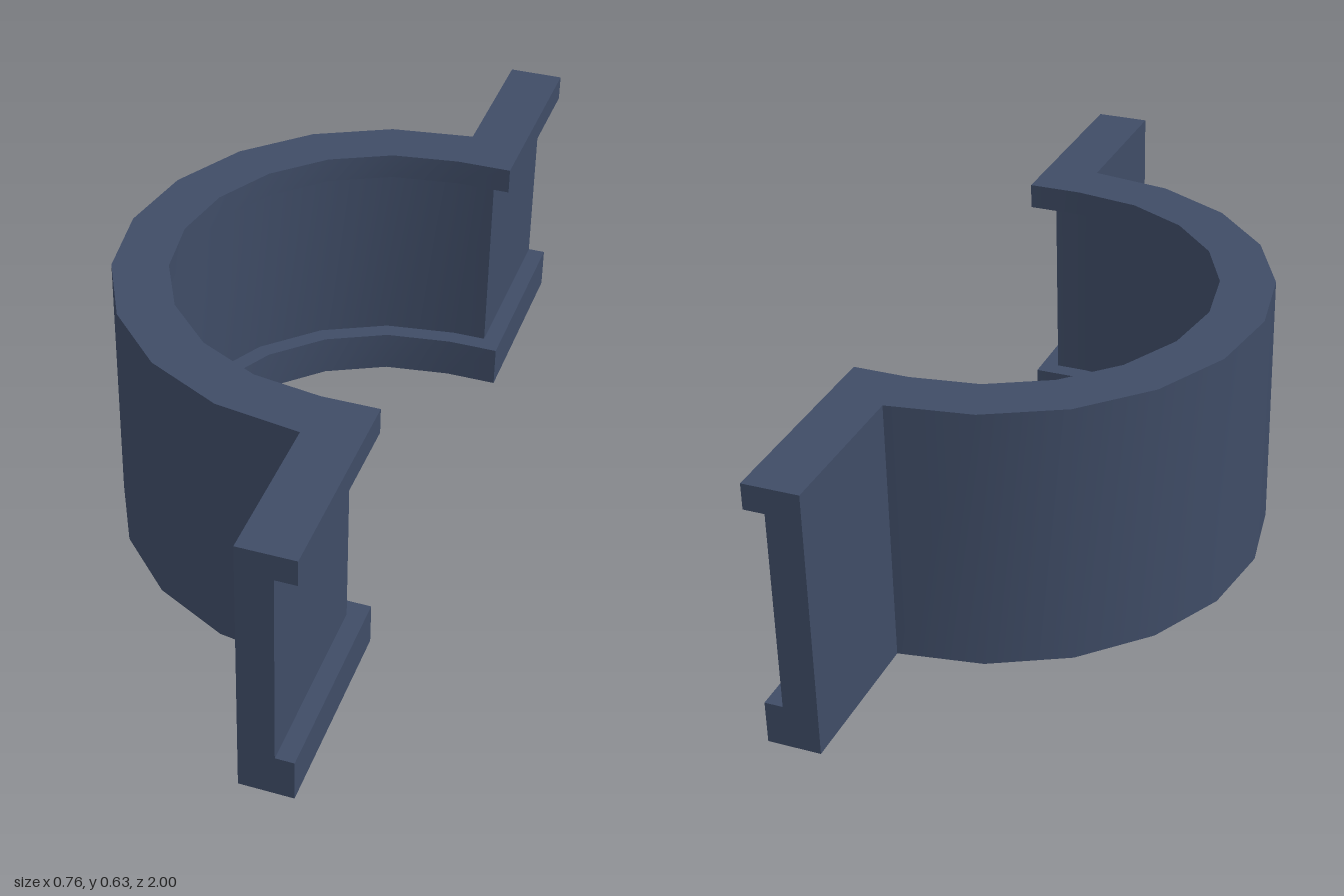
import * as THREE from 'three';
import { toCreasedNormals } from 'three/addons/utils/BufferGeometryUtils.js';

const X0 = 0.25;      // outer face of the flanges and centre of the arc
const R = 0.63;       // outer radius
const STEPS = 10;     // facets along the half ring

// Channel cross-section: (depth inward from the outer wall, height)
const PROFILE = [
  [0, 0], [0.122, 0], [0.122, 0.1], [0.08, 0.1],
  [0.08, 0.57], [0.128, 0.57], [0.128, 0.63], [0, 0.63],
].map(([d, y]) => new THREE.Vector2(d, y));

// Stations along the clamp; each maps a depth to a plan position [x, z]
function makeStations() {
  const stations = [d => [X0 + d, 1], d => [X0 + d, R - d]];
  for (let i = 0; i <= STEPS; i++) {
    const a = (i / STEPS) * Math.PI;
    stations.push(d => [X0 - (R - d) * Math.sin(a), (R - d) * Math.cos(a)]);
  }
  stations.push(d => [X0 + d, d - R], d => [X0 + d, -1]);
  return stations;
}

function sweepChannel() {
  const rings = makeStations().map(at => PROFILE.map(p => {
    const [x, z] = at(p.x);
    return new THREE.Vector3(x, p.y, z);
  }));
  const positions = [];
  const triangle = (a, b, c) => {
    const area = b.clone().sub(a).cross(c.clone().sub(a)).length();
    if (area > 1e-7) for (const v of [a, b, c]) positions.push(v.x, v.y, v.z);
  };

  // Walls between neighbouring stations
  for (let s = 0; s < rings.length - 1; s++) {
    const p = rings[s], q = rings[s + 1];
    for (let i = 0; i < p.length; i++) {
      const j = (i + 1) % p.length;
      triangle(p[i], q[i], q[j]);
      triangle(p[i], q[j], p[j]);
    }
  }

  // Flat ends of the flanges
  const first = rings[0], last = rings[rings.length - 1];
  for (const [a, b, c] of THREE.ShapeUtils.triangulateShape(PROFILE, [])) {
    triangle(first[a], first[b], first[c]);
    triangle(last[a], last[c], last[b]);
  }

  const geometry = new THREE.BufferGeometry();
  geometry.setAttribute('position', new THREE.Float32BufferAttribute(positions, 3));
  return toCreasedNormals(geometry, 0.5);
}

export function createModel() {
  const group = new THREE.Group();
  group.name = 'halfRingClamp';
  const material = new THREE.MeshStandardMaterial({ color: 0x3f4c66 });
  const clamp = new THREE.Mesh(sweepChannel(), material);
  clamp.name = 'channelBracket';
  group.add(clamp);
  return group;
}
